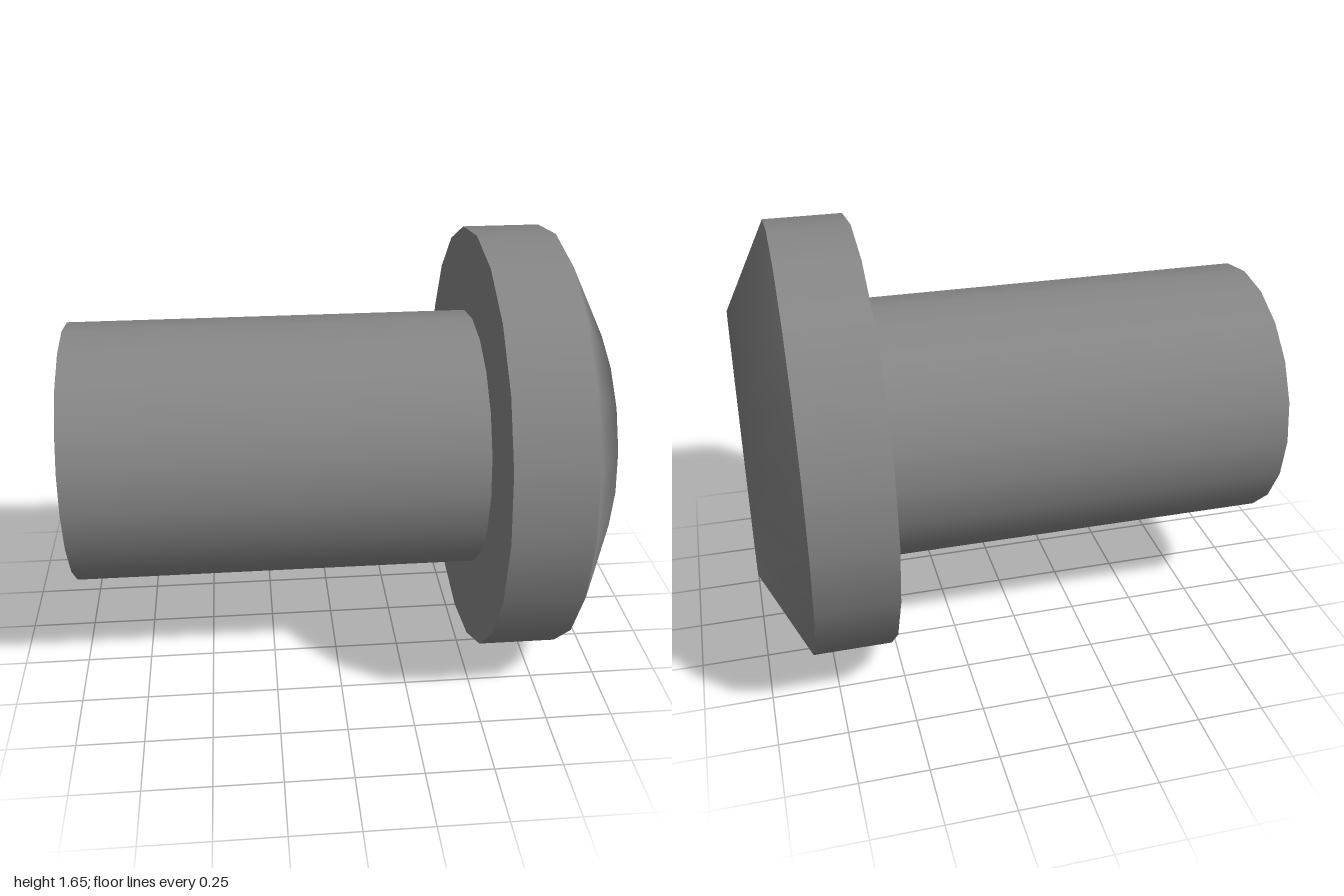
import * as THREE from 'three';

const SIDES = 20;
const HEAD_RADIUS = 0.823;
const SHANK_RADIUS = 0.5;

export function createModel() {
  const model = new THREE.Group();
  const material = new THREE.MeshStandardMaterial({ color: 0x868686 });

  // Everything is turned about the y axis, then laid along x
  const body = new THREE.Group();
  body.name = 'rivet';
  body.rotation.z = -Math.PI / 2;
  body.position.y = HEAD_RADIUS;
  model.add(body);

  // Each profile is one smooth surface; separate profiles meet at sharp edges
  const turned = (name, profile) => {
    const points = profile.map(([r, h]) => new THREE.Vector2(r, h));
    const geometry = new THREE.LatheGeometry(points, SIDES);
    geometry.normalizeNormals();
    const mesh = new THREE.Mesh(geometry, material);
    mesh.name = name;
    body.add(mesh);
  };

  // Solid shank
  turned('shankEnd', [[0, -1], [SHANK_RADIUS, -1]]);
  turned('shankSide', [[SHANK_RADIUS, -1], [SHANK_RADIUS, 0.54]]);

  // Wide head
  turned('headUnderside', [[SHANK_RADIUS, 0.54], [HEAD_RADIUS, 0.54]]);
  turned('headSide', [[HEAD_RADIUS, 0.54], [HEAD_RADIUS, 0.835]]);

  // Sloping face running over the rim into a deep hollow with a rounded floor
  turned('headFaceAndHollow', [
    [HEAD_RADIUS, 0.835], [SHANK_RADIUS, 1], [0.33, 0.67], [0.18, 0.58], [0, 0.54],
  ]);

  return model;
}
